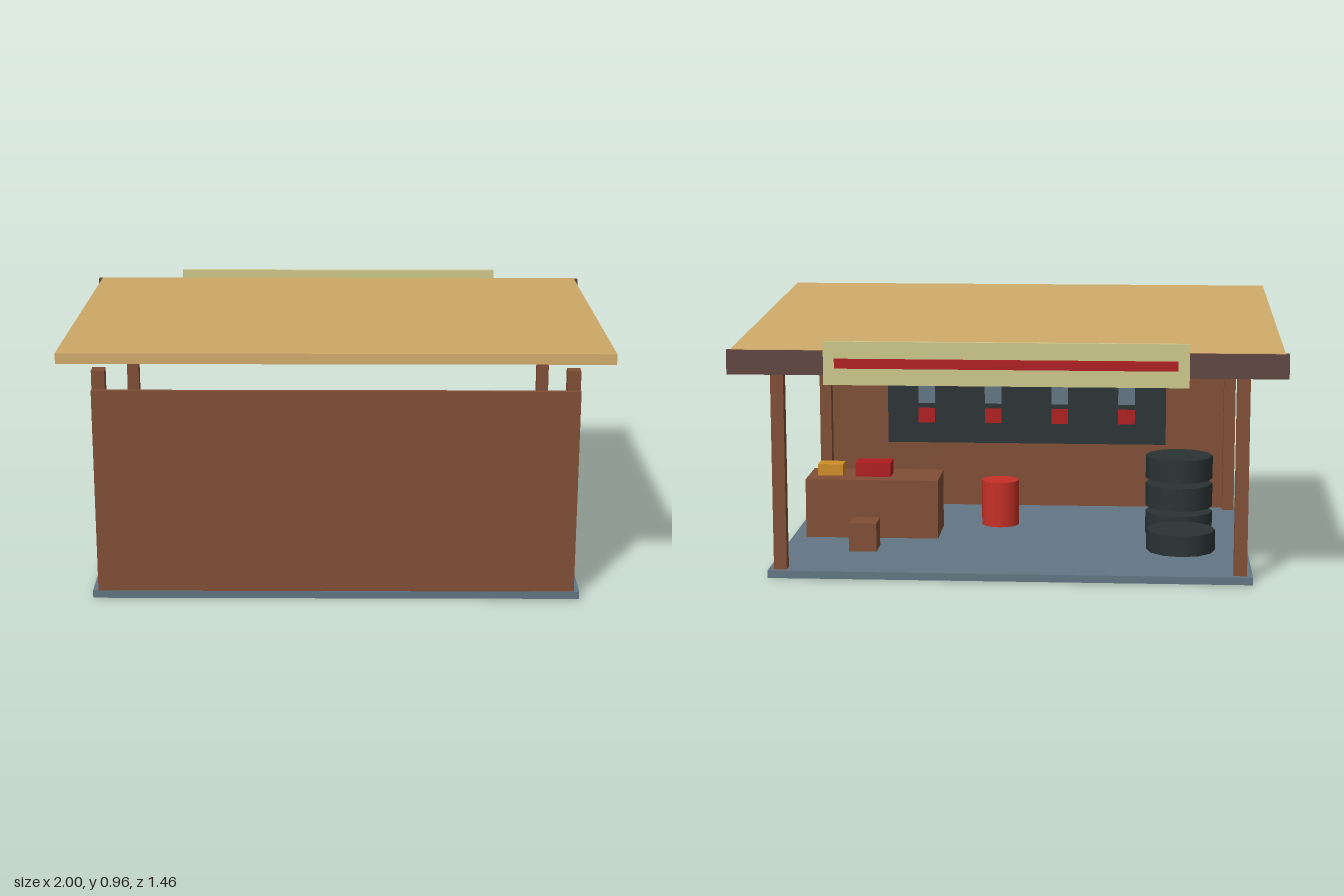
import * as THREE from 'three';

const paint = (name, color) => {
  const m = new THREE.MeshStandardMaterial({ color });
  m.name = name;
  return m;
};

export function createModel() {
  const wood = paint('brown wood', 0x804f36);
  const darkWood = paint('dark wood', 0x5f4540);
  const tan = paint('tan roofing', 0xcfa968);
  const slate = paint('slate', 0x637784);
  const black = paint('black rubber', 0x2a3335);
  const red = paint('red', 0xc63026);
  const darkRed = paint('dark red', 0xb01c1e);
  const cream = paint('cream', 0xcfca8c);
  const amber = paint('amber', 0xd18f26);

  const model = new THREE.Group();
  model.name = 'workshopShelter';

  const add = (name, geometry, material, x, y, z) => {
    const mesh = new THREE.Mesh(geometry, material);
    mesh.name = name;
    mesh.position.set(x, y, z);
    model.add(mesh);
    return mesh;
  };
  // Box given by its limits on each axis
  const box = (name, material, [x0, x1], [y0, y1], [z0, z1]) =>
    add(name, new THREE.BoxGeometry(x1 - x0, y1 - y0, z1 - z0), material,
      (x0 + x1) / 2, (y0 + y1) / 2, (z0 + z1) / 2);
  // Upright drum given by its bottom and top
  const drum = (name, material, radius, sides, x, z, y0, y1) =>
    add(name, new THREE.CylinderGeometry(radius, radius, y1 - y0, sides), material,
      x, (y0 + y1) / 2, z);

  // Floor and wall
  box('floor', slate, [-0.895, 0.895], [0.002, 0.03], [-0.573, 0.645]);
  box('wall', wood, [-0.875, 0.875], [0.03, 0.8], [0.626, 0.643]);

  // Corner posts
  for (const x of [-0.85, 0.85]) {
    const span = [x - 0.024, x + 0.024];
    box('wallPost', wood, span, [0.003, 0.87], [0.581, 0.626]);
    box('openPost', wood, span, [0.003, 0.85], [-0.551, -0.506]);
  }

  // Sloping roof, beam and sign
  const roof = add('roof', new THREE.BoxGeometry(1.97, 0.038, 1.441), tan, 0, 0.901, 0.008);
  roof.rotation.x = -0.0612;
  box('fasciaBeam', darkWood, [-1, 1], [0.785, 0.874], [-0.715, -0.69]);
  box('signBoard', cream, [-0.65, 0.65], [0.752, 0.908], [-0.727, -0.71]);
  box('signStripe', darkRed, [-0.61, 0.61], [0.812, 0.847], [-0.733, -0.726]);

  // Workbench with toolboxes, and a crate
  box('workbench', wood, [0.315, 0.84], [0, 0.263], [-0.02, 0.21]);
  box('largeToolbox', darkRed, [0.51, 0.65], [0.263, 0.318], [0.047, 0.145]);
  box('smallToolbox', amber, [0.702, 0.802], [0.263, 0.309], [0.06, 0.135]);
  box('crate', wood, [0.53, 0.637], [0, 0.14], [-0.253, -0.14]);

  // Barrel and tyres
  drum('barrel', red, 0.075, 16, 0.088, 0.27, 0.03, 0.213);
  for (let i = 0; i < 3; i++) {
    const y = 0.03 + i * 0.112;
    drum('stackedTyre', black, 0.133, 12, -0.635, 0.153, y, y + 0.091);
  }
  drum('looseTyre', black, 0.133, 12, -0.638, -0.137, 0.03, 0.11);

  // Tool board with hanging tools
  box('toolBoard', black, [-0.585, 0.585], [0.305, 0.65], [0.586, 0.626]);
  for (const x of [-0.42, -0.14, 0.14, 0.42]) {
    box('toolBlade', slate, [x - 0.035, x + 0.035], [0.475, 0.575], [0.574, 0.586]);
    box('toolHandle', darkRed, [x - 0.035, x + 0.035], [0.392, 0.453], [0.574, 0.586]);
  }

  return model;
}
